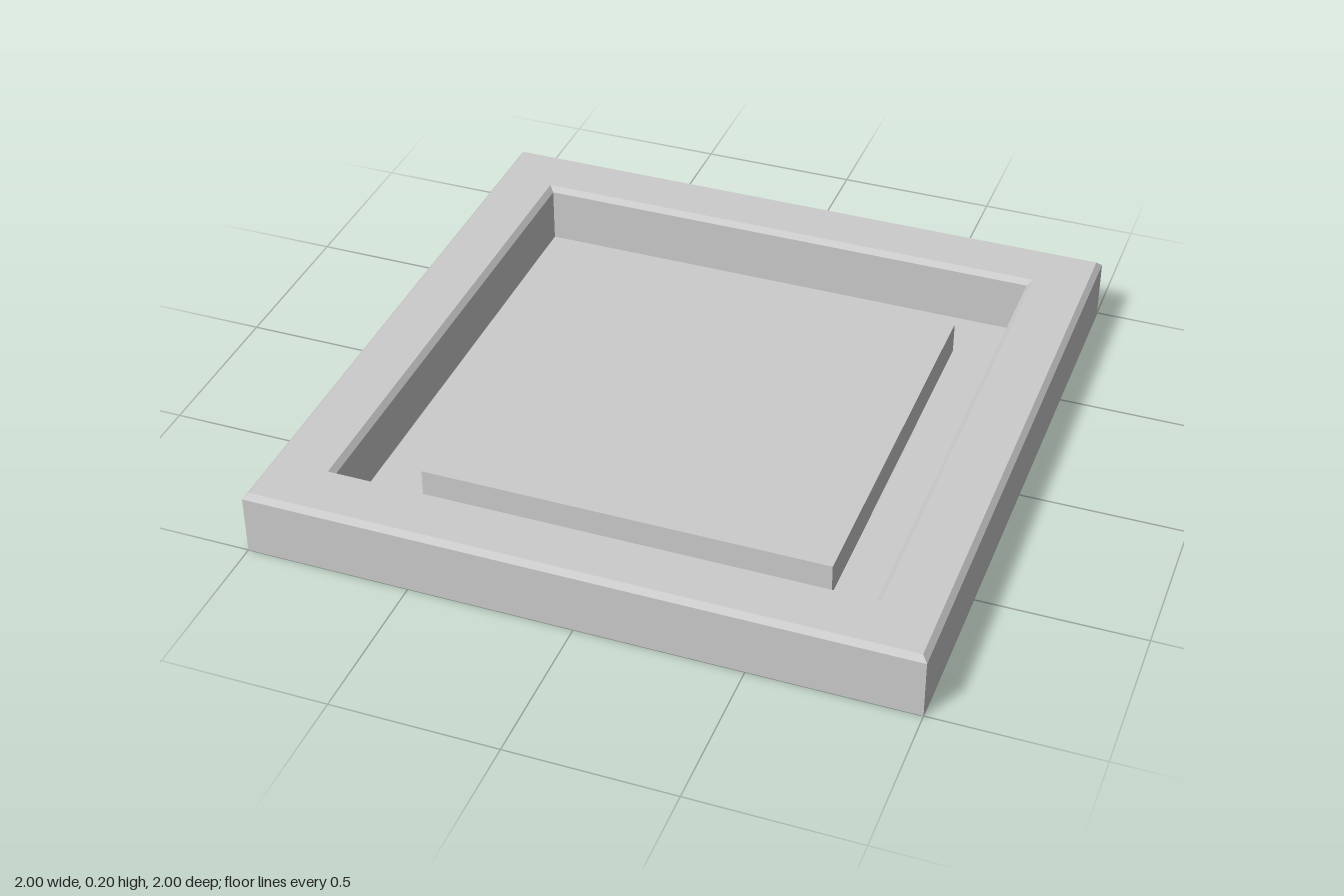
import * as THREE from 'three';

const material = new THREE.MeshStandardMaterial({ color: 0xcccccc, flatShading: true });

function addBox(group, name, width, bottom, top) {
  const mesh = new THREE.Mesh(new THREE.BoxGeometry(width, top - bottom, width), material);
  mesh.position.y = (bottom + top) / 2;
  mesh.name = name;
  group.add(mesh);
}

export function createModel() {
  const group = new THREE.Group();
  group.name = 'squareTray';

  const height = 0.2, outer = 1, inner = 0.804, bevel = 0.016;

  // Frame: closed rim section [half width, height] swept around a square
  const section = [
    [inner, 0],
    [outer, 0],
    [outer, height - bevel],
    [outer - bevel, height],
    [inner + bevel, height],
    [inner, height - bevel],
    [inner, 0],
  ].map(([r, y]) => new THREE.Vector2(r * Math.SQRT2, y));
  const frameGeometry = new THREE.LatheGeometry(section, 4, Math.PI / 4).toNonIndexed();
  frameGeometry.computeVertexNormals();
  const frame = new THREE.Mesh(frameGeometry, material);
  frame.name = 'frame';
  group.add(frame);

  // Thin floor, set slightly above the underside of the frame
  addBox(group, 'floor', inner * 2, 0.006, 0.01);

  // Raised panel in the middle of the floor
  addBox(group, 'raisedPanel', 1.25, 0.01, 0.11);

  return group;
}
